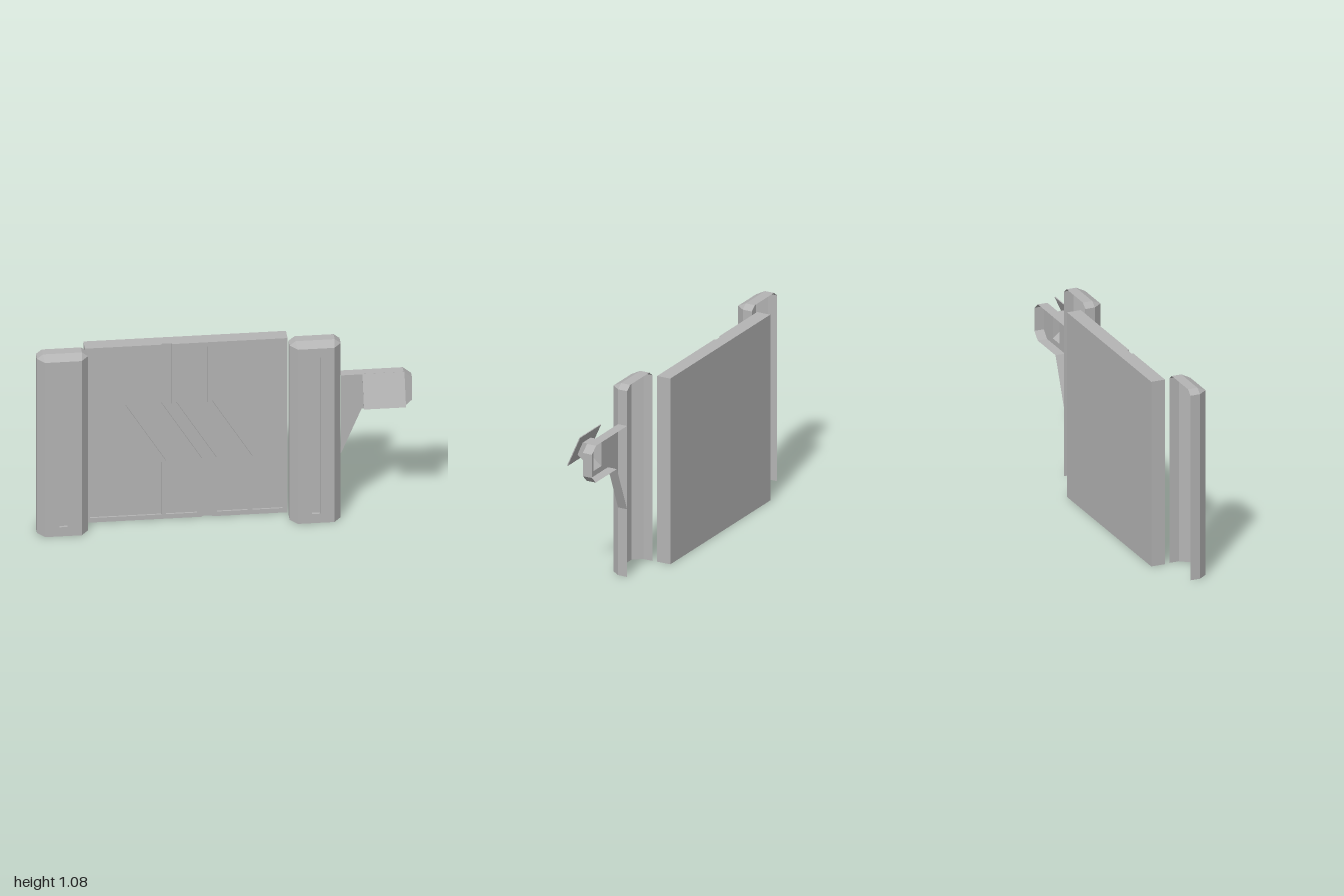
import * as THREE from 'three';
import { mergeGeometries } from 'three/addons/utils/BufferGeometryUtils.js';

const BACK = -0.035, MID = 0.02, FRONT = 0.07;

// Flat-shaded quads between successive rows of points
function loft(rows) {
  const pos = [];
  for (let r = 0; r + 1 < rows.length; r++) {
    for (let i = 0; i + 1 < rows[r].length; i++) {
      const a = rows[r][i], b = rows[r][i + 1], c = rows[r + 1][i + 1], d = rows[r + 1][i];
      pos.push(...a, ...b, ...c, ...a, ...c, ...d);
    }
  }
  const g = new THREE.BufferGeometry();
  g.setAttribute('position', new THREE.Float32BufferAttribute(pos, 3));
  g.computeVertexNormals();
  return g;
}

const shapeOf = (pts) => new THREE.Shape(pts.map(([x, y]) => new THREE.Vector2(x, y)));
const rect = (x0, x1, y0, y1) => [[x0, y0], [x1, y0], [x1, y1], [x0, y1]];

// Flat face with a hole at depth z
function face(outline, hole, z) {
  const s = shapeOf(outline);
  s.holes.push(shapeOf(hole));
  const g = new THREE.ShapeGeometry(s).translate(0, 0, z).toNonIndexed();
  g.deleteAttribute('uv');
  return g;
}

// Wall along an xy path from depth z0 to z1
const wall = (path, z0, z1) =>
  loft([path.map(([x, y]) => [x, y, z0]), path.map(([x, y]) => [x, y, z1])]);
const closed = (path) => [...path, path[0]];

export function createModel() {
  const grey = new THREE.MeshStandardMaterial({ color: 0xb4b4b4 });
  grey.name = 'grey';
  grey.side = THREE.DoubleSide;
  const model = new THREE.Group();
  const add = (name, geometry, parent = model) => {
    const m = new THREE.Mesh(geometry, grey);
    m.name = name;
    parent.add(m);
    return m;
  };

  // Pillars: shells open at the back and bottom, with a slot in the front
  function pillar(name, x) {
    const w = 0.136, f = 0.0975, t = 0.104, h = 1.055, top = 1.08;
    const g = new THREE.Group();
    g.name = name;
    const slot = rect(-0.022, 0.022, 0.055, 1.0);
    const sides = [-1, 1].map((s) => {
      const p = [[s * w, BACK], [s * w, MID], [s * f, FRONT]];
      return loft([0, h].map((y) => p.map(([px, z]) => [px, y, z])));
    });
    add('pillarShell', mergeGeometries([...sides, face(rect(-f, f, 0, h), slot, FRONT)]), g);
    const rim = [[-w, BACK], [-w, MID], [-f, FRONT], [f, FRONT], [w, MID], [w, BACK]];
    const crown = [[-t, BACK], [-t, MID], [-t, MID], [t, MID], [t, MID], [t, BACK]];
    add('pillarCap', mergeGeometries([
      loft([rim.map(([a, z]) => [a, h, z]), crown.map(([a, z]) => [a, top, z])]),
      loft([[[-t, top, MID], [t, top, MID]], [[-t, top, BACK], [t, top, BACK]]]),
    ]), g);
    const floor = FRONT - 0.015;
    add('pillarSlot', mergeGeometries([
      wall(closed(slot), floor, FRONT),
      loft([[[-0.022, 0.055, floor], [0.022, 0.055, floor]], [[-0.022, 1, floor], [0.022, 1, floor]]]),
    ]), g);
    g.position.x = x;
    model.add(g);
  }
  pillar('rightPillar', -0.864);
  pillar('leftPillar', 0.483);

  // Door: slab with raised ribs around four sunken fields and a centre channel
  const L = -0.735, R = 0.345, H = 1.055;
  add('doorSlab', new THREE.BoxGeometry(R - L, H, 0.07).translate((L + R) / 2, H / 2, -0.108));
  // Bent line running down the door; k lifts the bends
  const bent = (x, y0, y1, k = 0) =>
    [[x, y1], [x, 0.692 + k], [x + 0.215, 0.344 + k], [x + 0.215, y0]];
  const straight = (x, y0, y1) => [[x, y0], [x, y1]];
  const lo = 0.027, hi = 1.03, up = 0.008;
  const ribs = (name, outline, fields) => {
    const s = shapeOf(outline);
    fields.forEach((f) => s.holes.push(shapeOf(f)));
    add(name, new THREE.ExtrudeGeometry(s, { depth: 0.01, bevelEnabled: false }).translate(0, 0, -0.073));
  };
  ribs('rightDoorRibs', [...straight(L, 0, H), ...bent(-0.326, 0, H, up)], [
    [...straight(-0.709, lo, hi), ...bent(-0.543, lo, hi)],
    [...bent(-0.519, lo, hi, up).reverse(), ...bent(-0.353, lo, hi)],
  ]);
  ribs('leftDoorRibs', [...bent(-0.272, 0, H).reverse(), ...straight(R, 0, H).reverse()], [
    [...bent(-0.247, lo, hi, up).reverse(), ...bent(-0.083, lo, hi)],
    [...bent(-0.058, lo, hi, up).reverse(), ...straight(0.319, lo, hi).reverse()],
  ]);

  // Side arm: shell open at the back
  const arm = [[0.62, 0.385], [0.73, 0.65], [0.958, 0.65], [1, 0.69], [1, 0.822], [0.955, 0.858], [0.62, 0.858]];
  const bx0 = 0.8, bx1 = 0.885;
  add('armShell', mergeGeometries([
    wall(arm, BACK, MID),
    face(arm, rect(bx0, bx1, 0.68, 0.83), MID),
  ]));

  // Hollow bracket holding the tilted screen
  const ring = (z0, z1, y0, y1) => [[bx0, y0, z0], [bx1, y0, z0], [bx1, y1, z1], [bx0, y1, z1], [bx0, y0, z0]];
  add('screenBracket', loft([ring(MID, MID, 0.68, 0.83), ring(0.117, 0.086, 0.756, 0.83)]));

  const screen = add('screen', new THREE.BoxGeometry(0.224, 0.19, 0.005));
  screen.position.set(0.842, 0.798, 0.102);
  screen.rotation.x = -Math.atan2(0.077, 0.175);
  return model;
}
